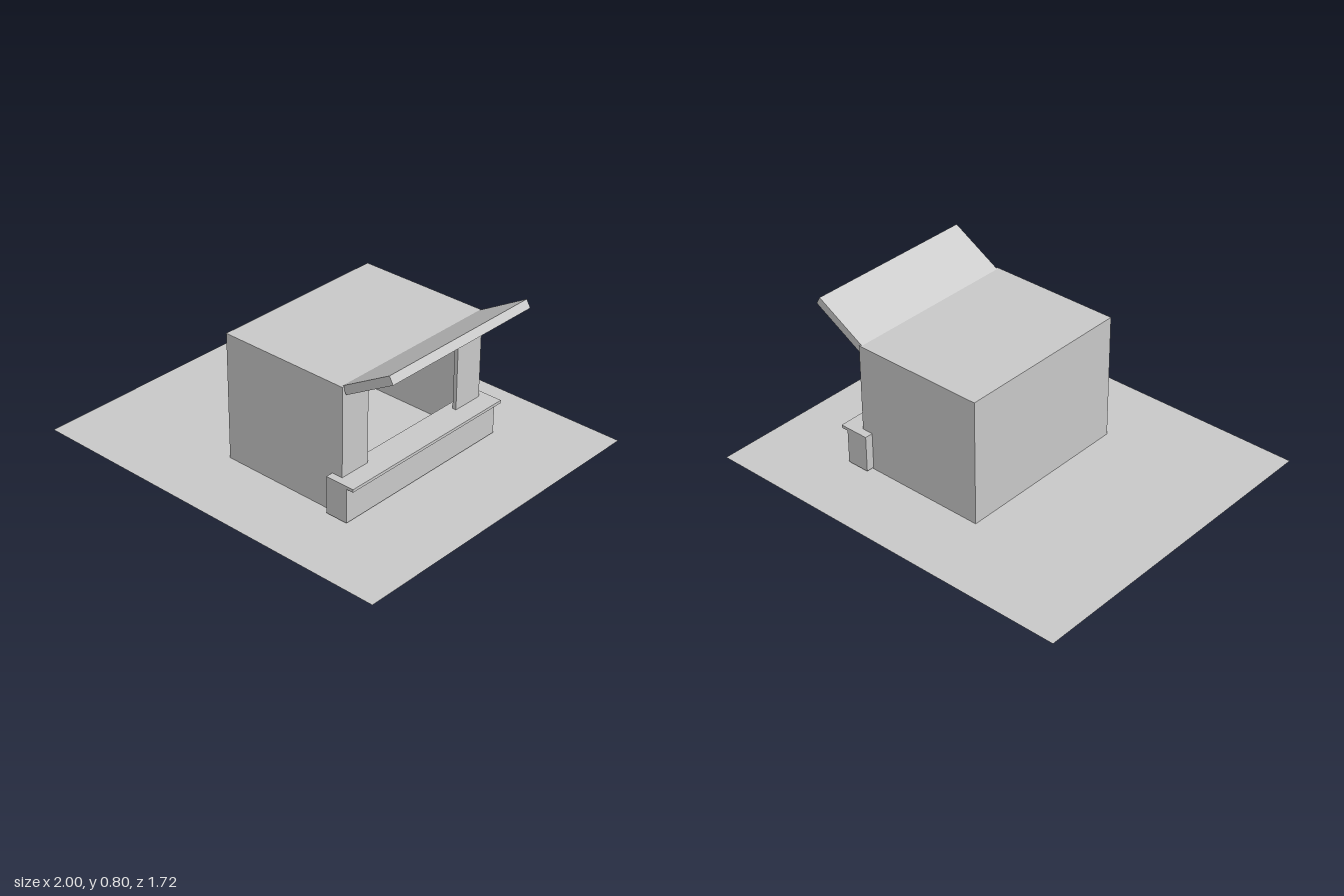
import * as THREE from 'three';

export function createModel() {
  const root = new THREE.Group();
  const mat = new THREE.MeshStandardMaterial({ color: 0xcccccc });
  const thin = new THREE.MeshStandardMaterial({ color: 0xcccccc, side: THREE.DoubleSide });

  const add = (name, geometry, parent = root, material = mat) => {
    const mesh = new THREE.Mesh(geometry, material);
    mesh.name = name;
    parent.add(mesh);
    return mesh;
  };

  // ground sheet
  const ground = add('ground', new THREE.PlaneGeometry(2, 1.715), root, thin);
  ground.rotation.x = -Math.PI / 2;

  // booth walls: C-shaped plan with the serving window on the +x side
  const x0 = -0.22, x1 = 0.475, zh = 0.467, gap = 0.302, t = 0.02;
  const wallTop = 0.63, roofTop = 0.65;
  const plan = new THREE.Shape([
    [x1, gap], [x1, zh], [x0, zh], [x0, -zh], [x1, -zh], [x1, -gap],
    [x1 - t, -gap], [x1 - t, -zh + t], [x0 + t, -zh + t],
    [x0 + t, zh - t], [x1 - t, zh - t], [x1 - t, gap],
  ].map(([x, z]) => new THREE.Vector2(x, z)));
  const walls = add('walls', new THREE.ExtrudeGeometry(plan, { depth: wallTop, bevelEnabled: false }));
  walls.rotation.x = -Math.PI / 2;

  // flat roof
  const roof = add('roof', new THREE.BoxGeometry(x1 - x0, roofTop - wallTop, 2 * zh));
  roof.position.set((x0 + x1) / 2, (roofTop + wallTop) / 2, 0);

  // counter with an overhanging top, as one profile run along z
  const profile = new THREE.Shape([
    [0.417, 0.008], [0.535, 0.008], [0.535, 0.183],
    [0.572, 0.183], [0.572, 0.198], [0.417, 0.198],
  ].map(([x, y]) => new THREE.Vector2(x, y)));
  const counter = add('counter', new THREE.ExtrudeGeometry(profile, { depth: 1.014, bevelEnabled: false }));
  counter.position.z = -0.509;

  // raised awning, hinged at the roof edge
  const awning = new THREE.Group();
  awning.name = 'awning';
  awning.position.set(0.605, 0.706, -0.002);
  awning.rotation.z = Math.PI / 6;
  root.add(awning);
  add('awningPanel', new THREE.BoxGeometry(0.3, 0.043, 0.914), awning);

  // lamps under the awning, three pairs
  const lampShape = new THREE.SphereGeometry(0.022, 20, 14);
  for (const z of [-0.373, 0.02, 0.379]) {
    for (const x of [-0.04, 0.051]) {
      const lamp = add('lamp', lampShape, awning);
      lamp.position.set(x, -0.0215, z);
      lamp.scale.y = 0.8;
    }
  }
  return root;
}
